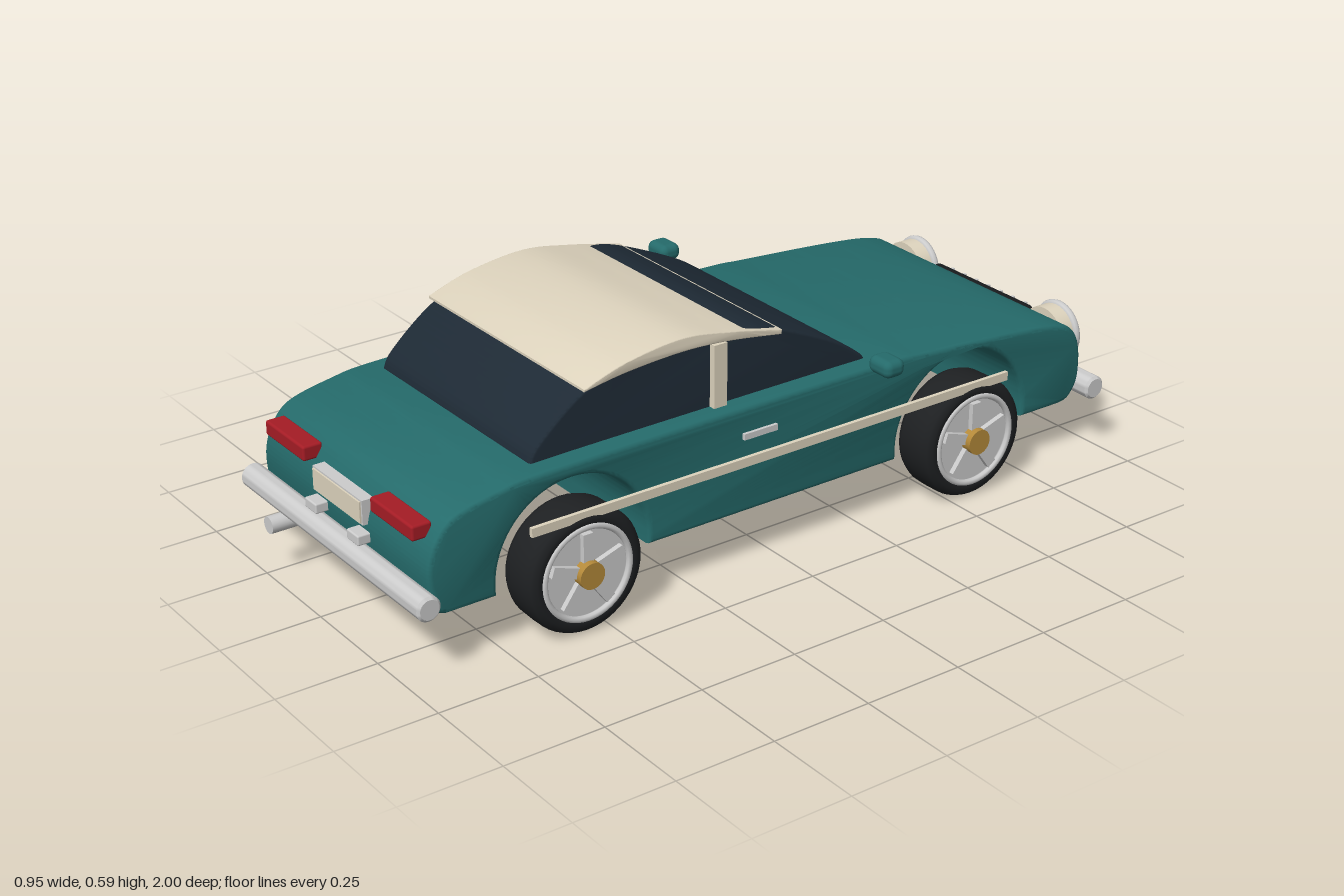
import * as THREE from 'three';
import { toCreasedNormals } from 'three/addons/utils/BufferGeometryUtils.js';
import { RoundedBoxGeometry } from 'three/addons/geometries/RoundedBoxGeometry.js';

const mat = (color) => new THREE.MeshStandardMaterial({ color });
const paint = mat(0x256b6b), glass = mat(0x1e2a35), cream = mat(0xddd3bd), chrome = mat(0xcccccc);
const red = mat(0xa51c25), gold = mat(0xb58a3a), rubber = mat(0x1e2022), black = mat(0x181a1c);

export function createModel() {
  const car = new THREE.Group();
  car.name = 'car';

  const add = (name, geo, material, x = 0, y = 0, z = 0, parent = car) => {
    const mesh = new THREE.Mesh(geo, material);
    mesh.name = name;
    mesh.position.set(x, y, z);
    parent.add(mesh);
    return mesh;
  };
  const box = (w, h, d, r = 0) =>
    r ? new RoundedBoxGeometry(w, h, d, 3, r) : new THREE.BoxGeometry(w, h, d);
  const rod = (r, len, seg = 32) => new THREE.CylinderGeometry(r, r, len, seg);
  const vecs = (list) => list.map(([a, b]) => new THREE.Vector2(a, b));

  // Side profile (z, y) extruded across the car with softened edges
  const acrossCar = (shape, width, bevel) => {
    const geo = new THREE.ExtrudeGeometry(shape, {
      depth: width - 2 * bevel, bevelSize: bevel, bevelThickness: bevel,
      bevelOffset: -bevel, bevelSegments: 3, curveSegments: 40,
    });
    geo.translate(0, 0, -width / 2 + bevel);
    geo.rotateY(-Math.PI / 2);
    geo.translate(0, 0, -0.01);
    return toCreasedNormals(geo, 0.6);
  };

  // Body with wheel arches cut right through
  const body = new THREE.Shape();
  body.moveTo(0.77, 0.135);
  body.lineTo(0.9, 0.135);
  body.splineThru(vecs([
    [0.925, 0.15], [0.937, 0.2], [0.937, 0.26], [0.916, 0.316], [0.87, 0.36], [0.76, 0.386],
    [0.65, 0.397], [0.3, 0.4], [-0.28, 0.4], [-0.44, 0.392], [-0.71, 0.372], [-0.85, 0.354],
    [-0.91, 0.327], [-0.937, 0.27], [-0.937, 0.19], [-0.91, 0.145], [-0.88, 0.135],
  ]));
  for (const z of [-0.55, 0.57]) {
    body.lineTo(z - 0.2, 0.135);
    body.absarc(z, 0.162, 0.2, Math.PI, 0, true);
    if (z < 0) body.lineTo(z + 0.2, 0.135);
  }
  add('body', acrossCar(body, 0.725, 0.012), paint);

  // Glass cabin
  const cabin = new THREE.Shape();
  cabin.moveTo(0.65, 0.385);
  cabin.splineThru(vecs([
    [0.627, 0.434], [0.52, 0.522], [0.42, 0.56], [0.25, 0.578], [0.1, 0.567],
    [0, 0.553], [-0.177, 0.477], [-0.268, 0.418], [-0.295, 0.385],
  ]));
  add('cabinGlass', acrossCar(cabin, 0.622, 0.008), glass);

  // Crescent roof shell
  const roof = new THREE.Shape();
  roof.moveTo(0.51, 0.54);
  roof.splineThru(vecs([[0.4, 0.575], [0.25, 0.593], [0.118, 0.575], [-0.03, 0.543]]));
  roof.lineTo(-0.03, 0.531);
  roof.splineThru(vecs([[0.12, 0.553], [0.25, 0.56], [0.4, 0.551], [0.51, 0.534]]));
  add('roof', acrossCar(roof, 0.644, 0.002), cream);

  // Wheels: built with the axle along local y, outer face up
  const tyreProfile = vecs([
    [0.108, -0.05], [0.118, -0.057], [0.132, -0.057], [0.145, -0.05], [0.151, -0.036], [0.152, 0],
    [0.151, 0.036], [0.145, 0.05], [0.132, 0.057], [0.118, 0.057], [0.108, 0.05],
  ]);
  const tyreGeo = new THREE.LatheGeometry(tyreProfile, 48);
  const makeWheel = (name) => {
    const wheel = new THREE.Group();
    wheel.name = name;
    add('tyre', tyreGeo, rubber, 0, 0, 0, wheel);
    add('rimDisc', rod(0.113, 0.104, 40), chrome, 0, -0.004, 0, wheel);
    const lip = add('rimLip', new THREE.TorusGeometry(0.112, 0.008, 8, 48), chrome, 0, 0.054, 0, wheel);
    lip.rotation.x = Math.PI / 2;
    for (let i = 0; i < 5; i++) {
      const arm = new THREE.Group();
      arm.name = 'spokeArm';
      arm.rotation.y = (i * Math.PI * 2) / 5;
      add('spoke', box(0.075, 0.022, 0.026), chrome, 0.06, 0.05, 0, arm);
      wheel.add(arm);
    }
    add('hubCap', rod(0.032, 0.04, 24), gold, 0, 0.056, 0, wheel);
    return wheel;
  };

  for (const s of [-1, 1]) {
    const side = s > 0 ? 'left' : 'right';
    for (const [end, z] of [['Front', -0.56], ['Rear', 0.56]]) {
      const wheel = makeWheel(side + end + 'Wheel');
      wheel.position.set(s * 0.357, 0.152, z);
      wheel.rotation.set(0, s > 0 ? 0 : Math.PI, -Math.PI / 2, 'YXZ');
      wheel.children.forEach((c) => { if (c.name === 'spokeArm') c.rotation.y += Math.PI; });
      car.add(wheel);
    }

    // Side fittings
    add(side + 'Pillar', box(0.022, 0.16, 0.036), cream, s * 0.317, 0.475, 0.137);
    add(side + 'SideTrim', box(0.01, 0.022, 1.36), cream, s * 0.407, 0.292, 0.02);
    add(side + 'DoorHandle', box(0.008, 0.015, 0.094), chrome, s * 0.41, 0.357, 0.087);
    add(side + 'Mirror', box(0.075, 0.043, 0.058, 0.018), paint, s * 0.436, 0.438, -0.256);

    // Rear lights and bumper brackets
    add(side + 'TailLight', box(0.176, 0.037, 0.05, 0.006), red, s * 0.234, 0.326, 0.917);
    add(side + 'BumperBracket', box(0.05, 0.025, 0.06, 0.004), chrome, s * 0.093, 0.227, 0.93);

    // Headlight: housing, chrome ring and domed lens
    const lamp = new THREE.Group();
    lamp.name = side + 'Headlight';
    lamp.position.set(s * 0.265, 0.285, -0.945);
    add('housing', rod(0.07, 0.05).rotateX(Math.PI / 2), cream, 0, 0, 0.01, lamp);
    add('ring', new THREE.TorusGeometry(0.066, 0.011, 10, 40), chrome, 0, 0, -0.015, lamp);
    add('lens', new THREE.SphereGeometry(0.06, 28, 16).scale(1, 1, 0.25), cream, 0, 0, -0.015, lamp);
    car.add(lamp);
  }

  // Grille with upright chrome bars
  add('grille', box(0.36, 0.09, 0.03, 0.012), black, 0, 0.275, -0.945);
  for (let i = -3; i <= 3; i++) {
    add('grilleBar', box(0.009, 0.076, 0.02), chrome, i * 0.046, 0.275, -0.961);
  }

  // Bumpers
  const bumper = (name, len, y, z) => {
    const profile = vecs([
      [0, -len / 2], [0.024, -len / 2], [0.03, -len / 2 + 0.006],
      [0.03, len / 2 - 0.006], [0.024, len / 2], [0, len / 2],
    ]);
    const geo = toCreasedNormals(new THREE.LatheGeometry(profile, 28), 0.6);
    add(name, geo.rotateZ(Math.PI / 2), chrome, 0, y, z);
  };
  bumper('frontBumper', 0.8, 0.17, -0.97);
  bumper('rearBumper', 0.788, 0.18, 0.948);

  // Number plate (blank) with frame, and exhaust
  add('plateFrame', box(0.216, 0.06, 0.03), chrome, 0, 0.286, 0.925);
  add('plate', box(0.206, 0.052, 0.03), cream, 0, 0.286, 0.929);
  add('exhaust', rod(0.021, 0.12, 24).rotateX(Math.PI / 2), chrome, -0.235, 0.128, 0.935);

  return car;
}
